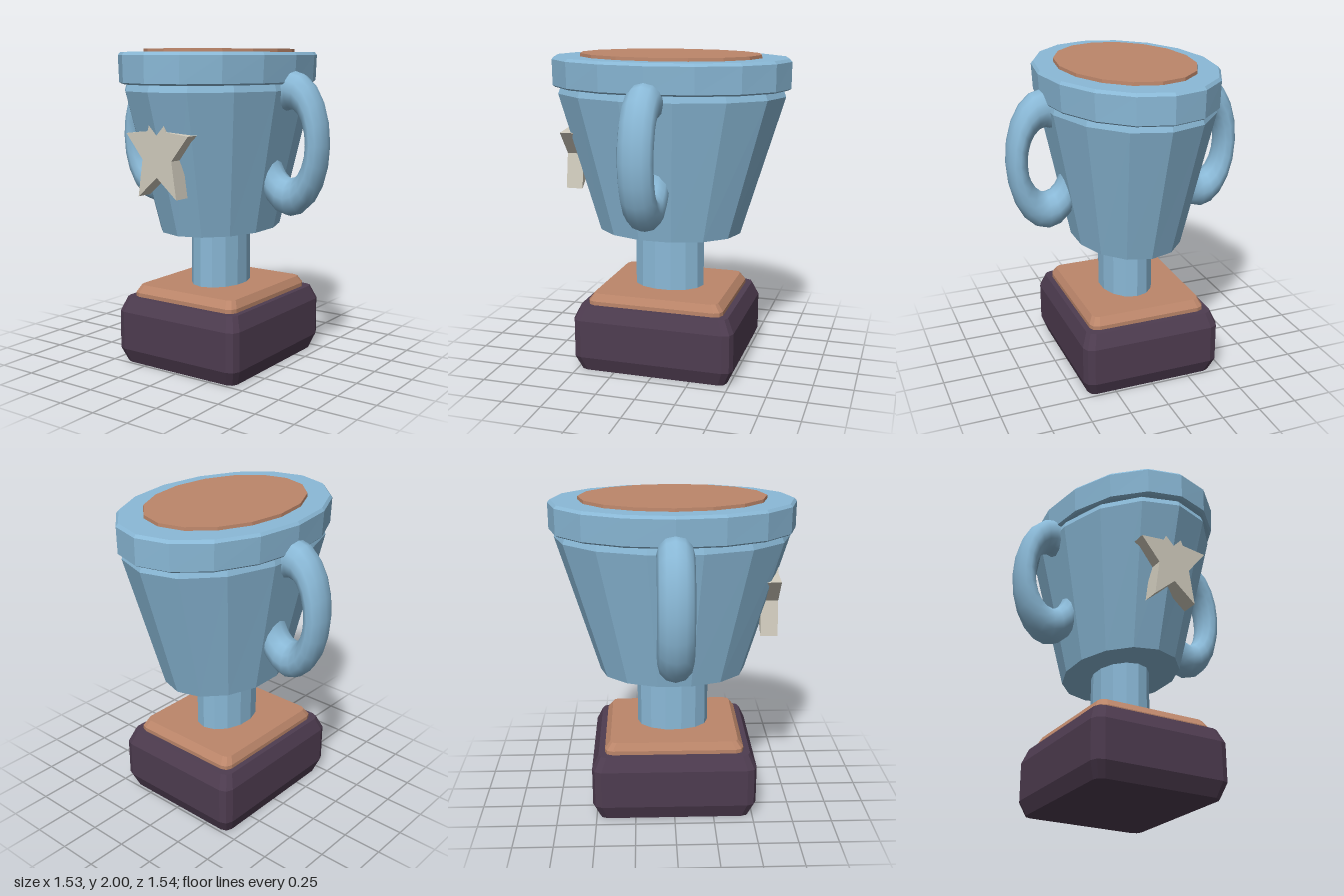
import * as THREE from 'three';

const paint = (name, color) => {
  const m = new THREE.MeshStandardMaterial({ color });
  m.name = name;
  return m;
};

// Outlines run from +z towards +x
const ellipse = (sides, rx, rz) =>
  Array.from({ length: sides }, (_, i) => {
    const t = (i / sides) * Math.PI * 2;
    return [rx * Math.sin(t), rz * Math.cos(t)];
  });

function roundedRect(hx, hz, r, steps = 2) {
  const pts = [];
  [[1, 1], [1, -1], [-1, -1], [-1, 1]].forEach(([sx, sz], c) => {
    for (let i = 0; i <= steps; i++) {
      const t = (c + i / steps) * Math.PI / 2;
      pts.push([sx * (hx - r) + r * Math.sin(t), sz * (hz - r) + r * Math.cos(t)]);
    }
  });
  return pts;
}

// Closed, flat-faced solid through horizontal sections, listed bottom to top
function loft(sections) {
  const v = [];
  const n = sections[0].pts.length;
  const put = (s, i) => v.push(s.pts[i % n][0], s.y, s.pts[i % n][1]);
  for (let k = 0; k < sections.length - 1; k++) {
    const lo = sections[k], hi = sections[k + 1];
    for (let i = 0; i < n; i++) {
      put(lo, i); put(lo, i + 1); put(hi, i + 1);
      put(lo, i); put(hi, i + 1); put(hi, i);
    }
  }
  const bottom = sections[0], top = sections[sections.length - 1];
  for (let i = 1; i < n - 1; i++) {
    put(bottom, 0); put(bottom, i + 1); put(bottom, i);
    put(top, 0); put(top, i); put(top, i + 1);
  }
  const g = new THREE.BufferGeometry();
  g.setAttribute('position', new THREE.Float32BufferAttribute(v, 3));
  g.computeVertexNormals();
  return g;
}

const ovalLoft = (sides, rows) =>
  loft(rows.map(([y, rx, rz]) => ({ y, pts: ellipse(sides, rx, rz) })));
const blockLoft = (rows) =>
  loft(rows.map(([y, hx, hz, r]) => ({ y, pts: roundedRect(hx, hz, r) })));

export function createModel() {
  const group = new THREE.Group();
  const blue = paint('blue metal', 0x8ab9d7);
  const copper = paint('copper', 0xbc866a);
  const plum = paint('dark plum', 0x4e3c50);
  const cream = paint('cream', 0xd0cbbd);

  const add = (name, geometry, material) => {
    const mesh = new THREE.Mesh(geometry, material);
    mesh.name = name;
    group.add(mesh);
    return mesh;
  };

  // Base block with bevelled edges, and the thin plinth on it
  add('base', blockLoft([
    [0, 0.42, 0.48, 0.05], [0.095, 0.455, 0.522, 0.06],
    [0.34, 0.455, 0.522, 0.06], [0.43, 0.42, 0.48, 0.05],
  ]), plum);
  add('plinth', blockLoft([
    [0.42, 0.385, 0.44, 0.05], [0.455, 0.385, 0.44, 0.05],
    [0.502, 0.36, 0.405, 0.04],
  ]), copper);

  // Oval stem, cup, rim and filled top
  add('stem', ovalLoft(14, [[0.49, 0.169, 0.23], [0.88, 0.169, 0.23]]), blue);
  add('cup', ovalLoft(14, [
    [0.87, 0.342, 0.467], [1.75, 0.523, 0.737], [1.8, 0.508, 0.718],
  ]), blue);
  add('rim', ovalLoft(16, [
    [1.79, 0.53, 0.75], [1.8, 0.54, 0.767],
    [1.962, 0.549, 0.768], [1.98, 0.535, 0.752],
  ]), blue);
  add('topDisc', ovalLoft(16, [[1.97, 0.418, 0.585], [2, 0.415, 0.582]]), copper);

  // Tall oval ring handles, partly sunk into the cup
  const ring = new THREE.TorusGeometry(1, 0.36, 12, 20);
  ring.scale(0.18, 0.328, 0.306);
  for (const [name, side] of [['leftHandle', 1], ['rightHandle', -1]]) {
    const handle = add(name, ring, blue);
    handle.position.set(side * 0.522, 1.427, 0);
    if (side < 0) handle.rotation.y = Math.PI;
  }

  // Star on the front, its upper point sunk into the sloping cup
  const star = new THREE.Shape();
  for (let i = 0; i < 10; i++) {
    const t = (i / 10) * Math.PI * 2;
    const [rx, ry] = i % 2 ? [0.113, 0.15] : [0.24, 0.335];
    const x = rx * Math.sin(t), y = ry * Math.cos(t);
    if (i) star.lineTo(x, y); else star.moveTo(x, y);
  }
  star.closePath();
  const starGeometry = new THREE.ExtrudeGeometry(star, { depth: 0.11, bevelEnabled: false });
  add('star', starGeometry, cream).position.set(0, 1.4, 0.55);

  return group;
}
